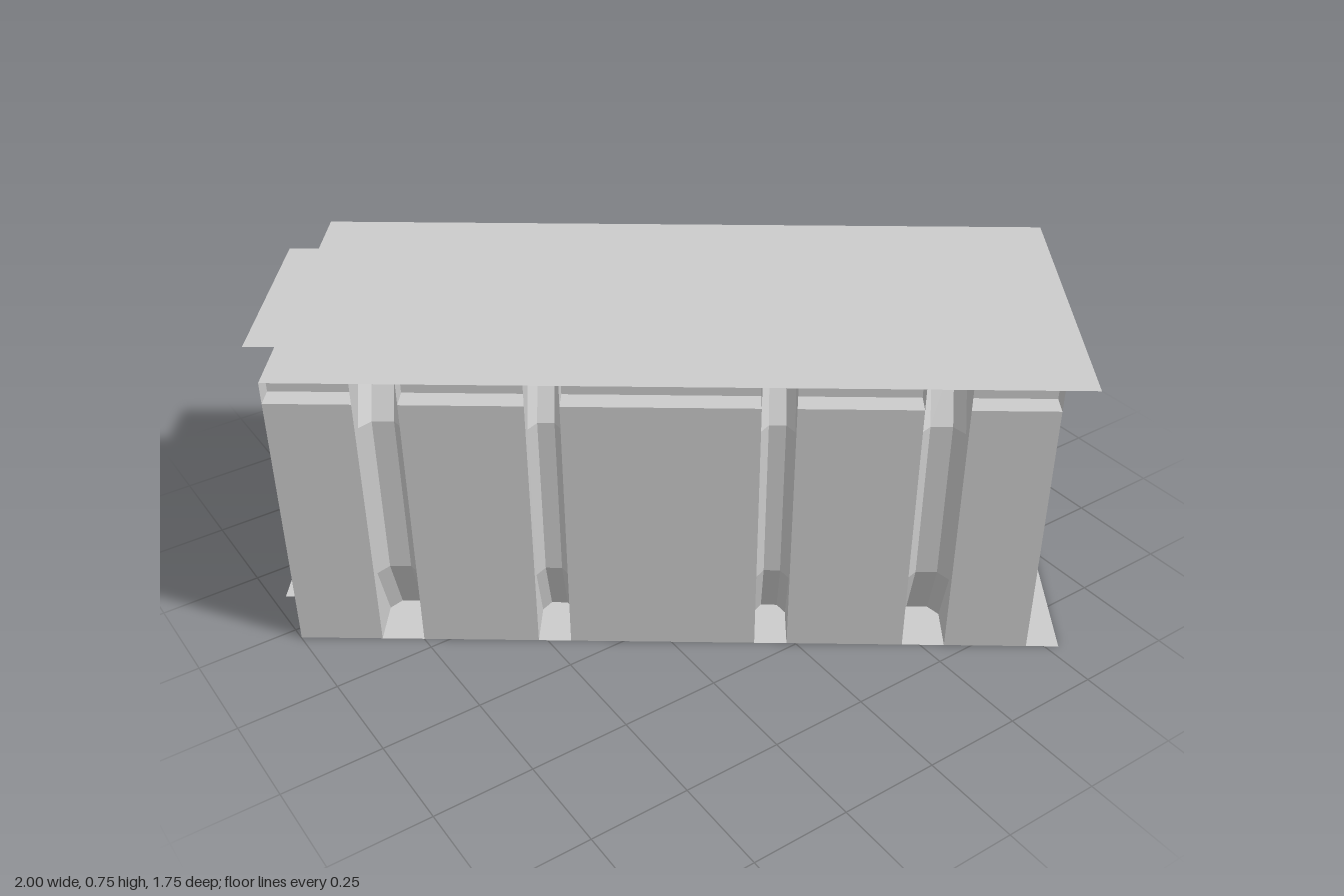
import * as THREE from 'three';

const H = 0.745;              // height
const W = 0.405;              // half width
const BACK = -0.938, FRONT = 0.858, LIP = 0.938, TAB = -1.013;
const DOOR_W = 0.248, DOOR_H = 0.605;
const MID = (BACK + FRONT) / 2;
const material = new THREE.MeshStandardMaterial({ color: 0xcccccc, flatShading: true, side: THREE.DoubleSide });

function addMesh(parent, name, geometry) {
  const mesh = new THREE.Mesh(geometry, material);
  mesh.name = name;
  parent.add(mesh);
  return mesh;
}

// Skin a list of equal-length cross-sections with flat facets
function loft(sections) {
  const pos = [];
  for (let i = 0; i < sections.length - 1; i++) {
    const a = sections[i], b = sections[i + 1];
    for (let j = 0; j < a.length - 1; j++) {
      pos.push(...a[j], ...a[j + 1], ...b[j + 1], ...a[j], ...b[j + 1], ...b[j]);
    }
  }
  const g = new THREE.BufferGeometry();
  g.setAttribute('position', new THREE.Float32BufferAttribute(pos, 3));
  g.computeVertexNormals();
  return g;
}

const polygon = (pts) => new THREE.Shape(pts.map(([x, y]) => new THREE.Vector2(x, y)));

// Floor or ceiling sheet with a joining tab at the back end
function slab() {
  const g = new THREE.ShapeGeometry(polygon([
    [BACK, -W], [LIP, -W], [LIP, W], [BACK, W],
    [BACK, DOOR_W], [TAB, DOOR_W], [TAB, -DOOR_W], [BACK, -DOOR_W],
  ]));
  return g.rotateX(-Math.PI / 2);
}

// End wall with its doorway cut out
function endWall() {
  const g = new THREE.ShapeGeometry(polygon([
    [-W, 0], [-DOOR_W, 0], [-DOOR_W, DOOR_H], [DOOR_W, DOOR_H],
    [DOOR_W, 0], [W, 0], [W, H], [-W, H],
  ]));
  return g.rotateY(Math.PI / 2);
}

// Wall panel, stepped inward along its top
function panel(x0, x1) {
  const profile = [[0, W], [0.69, W], [0.69, W - 0.053], [H, W - 0.053]];
  return loft([x0, x1].map((x) => profile.map(([y, z]) => [x, y, z])));
}

// Rib: a chamfered channel, open outside, leaning inward at head and foot
function rib(x, half) {
  const chamfer = half * 0.5;
  const levels = [[0, 0.147], [0.18, 0.062], [0.605, 0.062], [H, 0.147]];
  return loft(levels.map(([y, depth]) => [
    [x - half, y, W], [x - half, y, W - depth + 0.029],
    [x - half + chamfer, y, W - depth], [x + half - chamfer, y, W - depth],
    [x + half, y, W - depth + 0.029], [x + half, y, W],
  ]));
}

function sideWall(name) {
  const wall = new THREE.Group();
  wall.name = name;
  const ribs = [[-0.644, 0.052], [-0.267, 0.04], [0.267, 0.04], [0.644, 0.052]];
  let start = BACK;
  for (const [offset, half] of ribs) {
    const x = MID + offset;
    addMesh(wall, 'wallPanel', panel(start, x - half));
    addMesh(wall, 'wallRib', rib(x, half));
    start = x + half;
  }
  addMesh(wall, 'wallPanel', panel(start, FRONT));
  return wall;
}

export function createModel() {
  const model = new THREE.Group();
  model.name = 'corridorSection';
  const corridor = new THREE.Group();
  corridor.name = 'corridor';

  addMesh(corridor, 'floor', slab());
  addMesh(corridor, 'ceiling', slab()).position.y = H;
  addMesh(corridor, 'frontEndWall', endWall()).position.x = FRONT;
  addMesh(corridor, 'backEndWall', endWall()).position.x = BACK;

  const right = sideWall('rightSideWall');
  const left = sideWall('leftSideWall');
  left.scale.z = -1;
  corridor.add(right, left);

  // The whole corridor stands diagonally
  corridor.rotation.y = -THREE.MathUtils.degToRad(35.5);
  model.add(corridor);
  return model;
}
